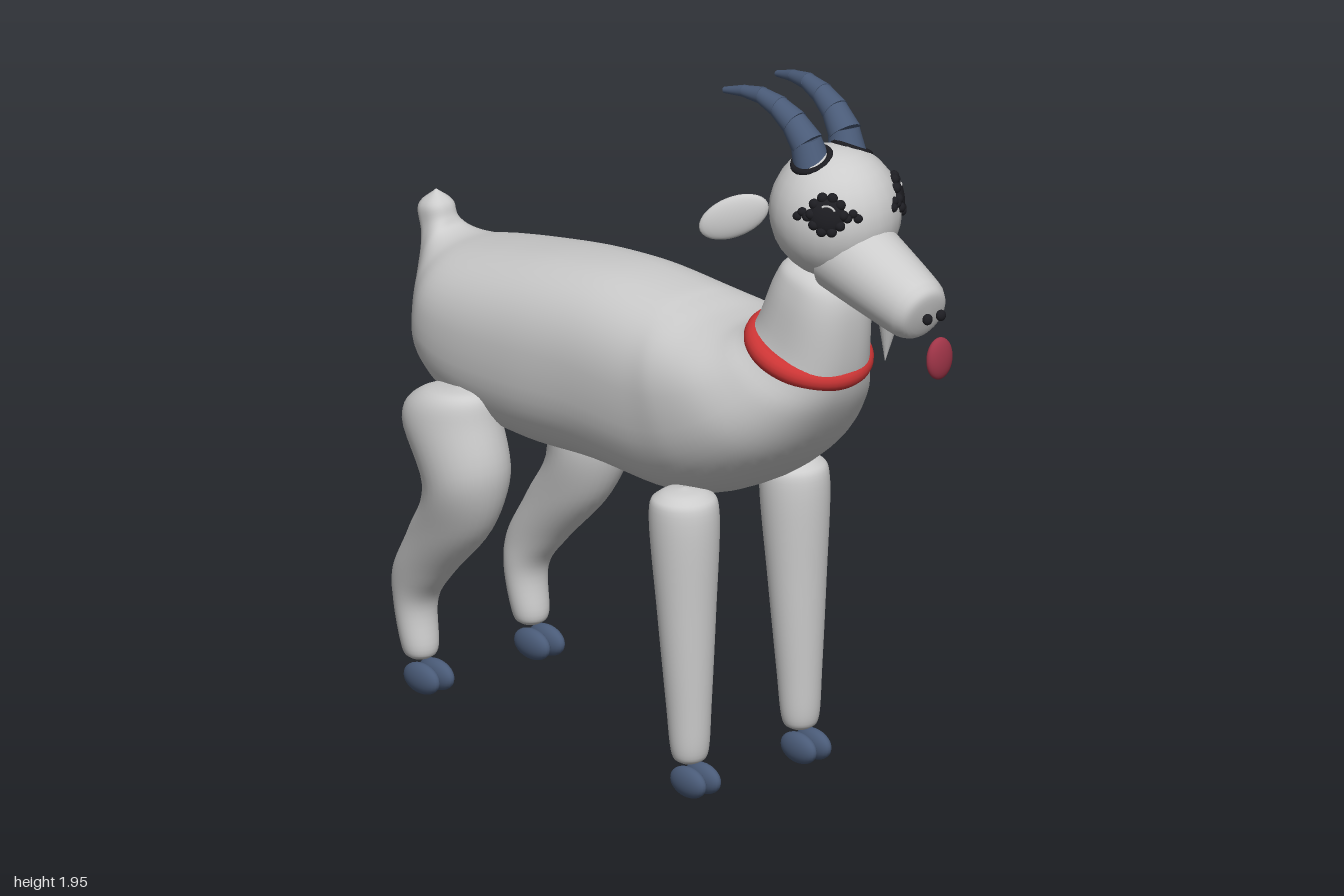
import * as THREE from 'three';

const mat = (name, color) => {
  const m = new THREE.MeshStandardMaterial({ color });
  m.name = name;
  return m;
};
const V = (x, y, z) => new THREE.Vector3(x, y, z);
const Y = V(0, 1, 0);

// Skin through rings [zBack, yBack, zFront, yFront, halfWidth, centreX], smoothed along the length
function loft(rings, power = 2, sub = 6, sides = 32) {
  const curve = (f) => new THREE.CatmullRomCurve3(rings.map(f), false, 'catmullrom', 0.5);
  const back = curve((r) => V(r[5] || 0, r[1], r[0]));
  const front = curve((r) => V(r[4], r[3], r[2]));
  const rows = (rings.length - 1) * sub;
  const pos = [], index = [];
  const bend = (v) => Math.sign(v) * Math.pow(Math.abs(v), 2 / power);
  for (let i = 0; i <= rows; i++) {
    const a = back.getPoint(i / rows), b = front.getPoint(i / rows);
    for (let j = 0; j < sides; j++) {
      const t = (j / sides) * Math.PI * 2, c = bend(Math.cos(t)), s = bend(Math.sin(t));
      pos.push(a.x + Math.max(b.x, 0.001) * s, (a.y + b.y) / 2 + (a.y - b.y) / 2 * c, (a.z + b.z) / 2 + (a.z - b.z) / 2 * c);
      if (i < rows) {
        const k = i * sides, n = (j + 1) % sides;
        index.push(k + j, k + n, k + sides + j, k + n, k + sides + n, k + sides + j);
      }
    }
  }
  const g = new THREE.BufferGeometry();
  g.setAttribute('position', new THREE.Float32BufferAttribute(pos, 3));
  g.setIndex(index);
  g.computeVertexNormals();
  return g;
}

export function createModel() {
  const wool = mat('wool', 0xcccccc);
  const horn = mat('horn', 0x4a5b78);
  const black = mat('black', 0x1d1d22);
  const red = mat('collarRed', 0xcc3535);
  const pink = mat('tongueRed', 0xa03548);
  const model = new THREE.Group();
  model.name = 'goat';

  const add = (name, geo, material, parent = model) => {
    const m = new THREE.Mesh(geo, material);
    m.name = name;
    parent.add(m);
    return m;
  };
  const ball = (name, p, r, material, parent) => {
    const m = add(name, new THREE.SphereGeometry(1, 24, 16), material, parent);
    m.position.set(...p);
    m.scale.set(...r);
    return m;
  };

  // Neck, trunk and tail in one skin
  add('body', loft([
    [0.53, 1.5, 0.54, 1.5, 0.001],
    [0.45, 1.495, 0.62, 1.465, 0.085],
    [0.41, 1.45, 0.65, 1.38, 0.115],
    [0.345, 1.31, 0.63, 1.2, 0.14],
    [0.28, 1.265, 0.58, 1.08, 0.195],
    [0.18, 1.255, 0.47, 0.94, 0.245],
    [0.08, 1.265, 0.3, 0.82, 0.262],
    [0, 1.275, 0.1, 0.757, 0.255],
    [-0.2, 1.283, -0.2, 0.755, 0.245],
    [-0.4, 1.265, -0.45, 0.743, 0.25],
    [-0.6, 1.23, -0.68, 0.765, 0.248],
    [-0.75, 1.2, -0.81, 0.83, 0.225],
    [-0.83, 1.185, -0.88, 0.9, 0.17],
    [-0.88, 1.192, -0.94, 1.03, 0.1],
    [-0.9, 1.215, -0.98, 1.15, 0.05],
    [-0.915, 1.25, -1, 1.23, 0.042],
    [-0.955, 1.278, -0.956, 1.278, 0.001],
  ], 2.4, 6, 48), wool);

  // Collar
  const collar = add('collar', new THREE.TorusGeometry(0.142, 0.029, 16, 48), red);
  collar.position.set(0, 1.243, 0.478);
  collar.rotation.x = -1.224;

  // Head
  ball('head', [0, 1.645, 0.58], [0.17, 0.175, 0.173], wool);
  const muzzle = add('muzzle', new THREE.LatheGeometry(new THREE.SplineCurve([
    [0.118, 0], [0.105, 0.13], [0.091, 0.25], [0.082, 0.285], [0.06, 0.308], [0.0001, 0.315],
  ].map((p) => new THREE.Vector2(...p))).getPoints(24), 32), wool);
  muzzle.position.set(0, 1.55, 0.635);
  muzzle.quaternion.setFromUnitVectors(Y, V(0, -0.326, 0.945).normalize());
  ball('tongue', [0, 1.35, 0.98], [0.042, 0.057, 0.02], pink);
  const beard = add('beard', new THREE.ConeGeometry(0.036, 0.16, 20), wool);
  beard.position.set(0, 1.362, 0.78);
  beard.rotation.x = Math.PI + 0.12;

  for (const s of [1, -1]) {
    const side = s > 0 ? 'left' : 'right';
    ball(side + 'Nostril', [s * 0.023, 1.456, 0.96], [0.014, 0.015, 0.012], black);

    // Ear: flat leaf pointing out, back and down
    const ear = ball(side + 'Ear', [s * 0.215, 1.638, 0.43], [0.095, 0.054, 0.02], wool);
    const along = V(s * 0.7, -0.4, -0.6).normalize();
    const flat = V(s * 0.65, 0, 0.76).normalize();
    const wide = flat.clone().cross(along).normalize();
    ear.quaternion.setFromRotationMatrix(new THREE.Matrix4().makeBasis(along, wide, along.clone().cross(wide)));

    // Horn of overlapping flared segments
    const horns = new THREE.Group();
    horns.name = side + 'Horn';
    model.add(horns);
    const path = new THREE.CatmullRomCurve3([
      V(s * 0.06, 1.775, 0.56), V(s * 0.066, 1.845, 0.535), V(s * 0.073, 1.9, 0.465),
      V(s * 0.08, 1.925, 0.37), V(s * 0.09, 1.907, 0.26),
    ]);
    const count = 6;
    for (let i = 0; i < count; i++) {
      const a = path.getPointAt(i / count), b = path.getPointAt((i + 1) / count);
      const r = (k) => 0.051 - 0.042 * (k / count);
      const d = b.clone().sub(a);
      const seg = add('hornSegment', new THREE.CylinderGeometry(r(i + 1) * 0.93, r(i), d.length() * 1.15, 20), horn, horns);
      seg.position.copy(a).add(b).multiplyScalar(0.5);
      seg.quaternion.setFromUnitVectors(Y, d.normalize());
    }
    const base = add('hornBase', new THREE.TorusGeometry(0.05, 0.009, 8, 24), black, horns);
    base.position.set(s * 0.068, 1.795, 0.565);
    base.lookAt(s * 0.55, 2.8, 0.55);

    // Eye: dark lumpy rosette with lashes out to both sides
    const eye = new THREE.Group();
    eye.name = side + 'Eye';
    model.add(eye);
    eye.position.set(s * 0.122, 1.69, 0.684);
    eye.lookAt(s * 0.244, 1.725, 0.788);
    ball('eyeDisc', [0, 0, 0], [0.046, 0.046, 0.016], black, eye);
    for (let i = 0; i < 10; i++) {
      const t = (i / 10) * Math.PI * 2;
      ball('eyeFrill', [Math.cos(t) * 0.042, Math.sin(t) * 0.046, 0], [0.014, 0.014, 0.013], black, eye);
    }
    for (const d of [1, -1]) {
      for (let i = 0; i < 3; i++) {
        ball('lash', [d * (0.052 + i * 0.013), -0.008 + (i % 2) * 0.012, -0.006 - i * 0.005], [0.013, 0.012, 0.012], black, eye);
      }
    }
    const glint = add('eyeGlint', new THREE.TorusGeometry(0.024, 0.003, 6, 16, 1.6), wool, eye);
    glint.position.z = 0.013;
    glint.rotation.z = 0.5;

    // Front leg
    const x = s * 0.19;
    add(side + 'FrontLeg', loft([
      [0.21, 0.832, 0.212, 0.832, 0.001, x],
      [0.145, 0.815, 0.275, 0.815, 0.07, x],
      [0.12, 0.755, 0.302, 0.755, 0.092, x],
      [0.145, 0.5, 0.295, 0.5, 0.078, x],
      [0.17, 0.25, 0.287, 0.25, 0.06, x],
      [0.185, 0.12, 0.28, 0.12, 0.05, x],
      [0.205, 0.09, 0.26, 0.09, 0.03, x],
      [0.232, 0.085, 0.233, 0.085, 0.001, x],
    ]), wool);

    // Hind leg with thigh and hock
    add(side + 'HindLeg', loft([
      [-0.6, 0.893, -0.598, 0.893, 0.001, s * 0.23],
      [-0.73, 0.865, -0.53, 0.88, 0.08, s * 0.228],
      [-0.79, 0.78, -0.507, 0.81, 0.115, s * 0.222],
      [-0.715, 0.61, -0.482, 0.66, 0.112, s * 0.215],
      [-0.8, 0.46, -0.54, 0.5, 0.088, s * 0.205],
      [-0.875, 0.33, -0.69, 0.34, 0.068, s * 0.197],
      [-0.877, 0.24, -0.765, 0.24, 0.06, x],
      [-0.85, 0.12, -0.758, 0.12, 0.05, x],
      [-0.83, 0.09, -0.775, 0.09, 0.03, x],
      [-0.803, 0.085, -0.802, 0.085, 0.001, x],
    ]), wool);

    // Cloven hooves
    for (const z of [0.255, -0.77]) {
      for (const o of [-0.025, 0.025]) {
        ball(side + (z > 0 ? 'FrontHoof' : 'HindHoof'), [x + o, 0.043, z], [0.026, 0.041, 0.064], horn);
      }
    }
  }
  return model;
}
